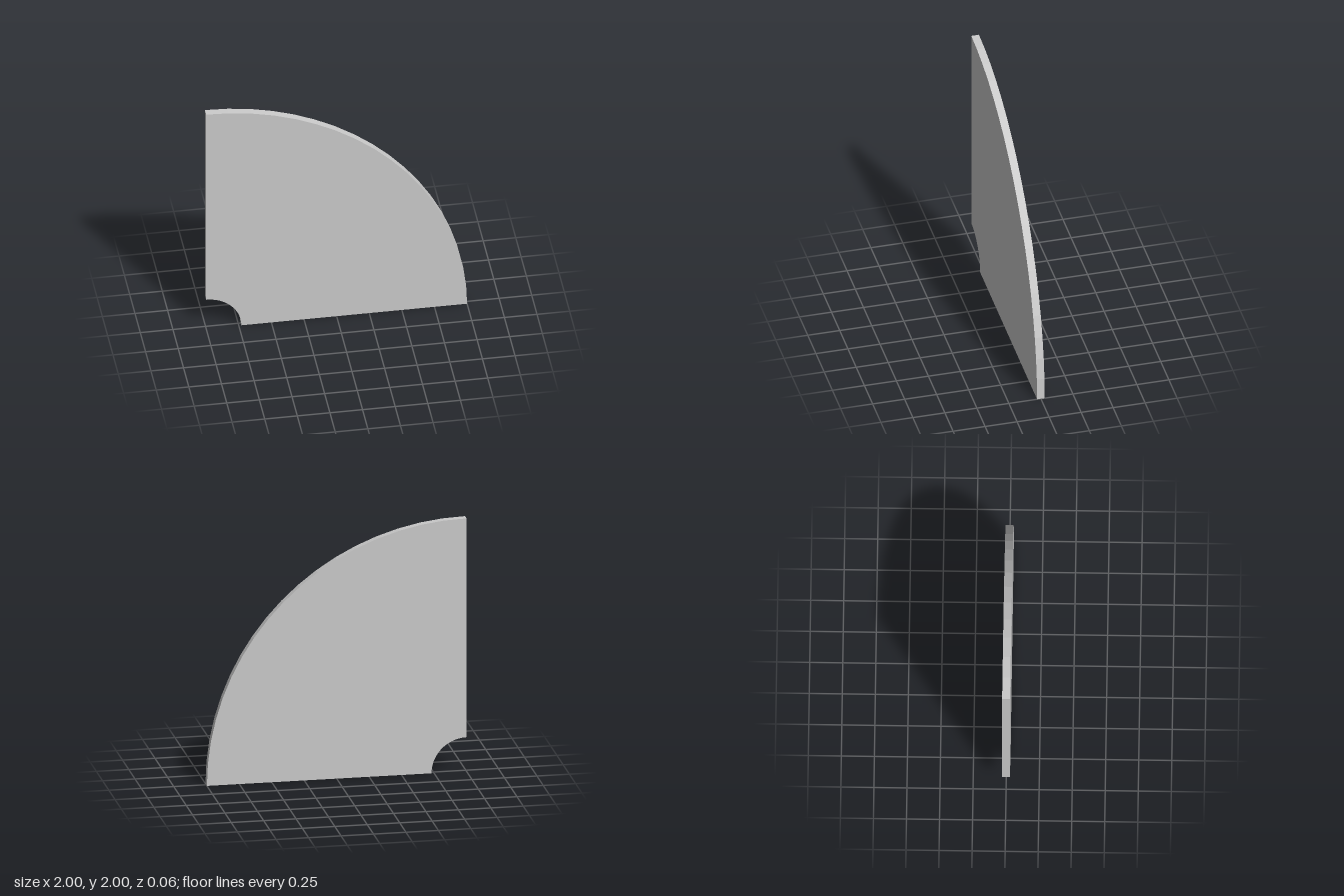
import * as THREE from 'three';

const OUTER = 2, INNER = 0.27, THICKNESS = 0.06;

export function createModel() {
  const group = new THREE.Group();
  group.name = 'quarterRingPanel';

  // Quarter ring outline, centred on its lower corner
  const outline = new THREE.Shape();
  outline.moveTo(INNER, 0);
  outline.lineTo(OUTER, 0);
  outline.absarc(0, 0, OUTER, 0, Math.PI / 2, false);
  outline.lineTo(0, INNER);
  outline.absarc(0, 0, INNER, Math.PI / 2, 0, true);

  // Arcs get twice curveSegments: 18 facets of 5 degrees
  const geometry = new THREE.ExtrudeGeometry(outline, {
    depth: THICKNESS, bevelEnabled: false, curveSegments: 9,
  });
  geometry.translate(-OUTER / 2, 0, -THICKNESS / 2);

  const panel = new THREE.Mesh(
    geometry,
    new THREE.MeshStandardMaterial({ color: 0xcccccc, flatShading: true }),
  );
  panel.name = 'panel';
  group.add(panel);
  return group;
}
